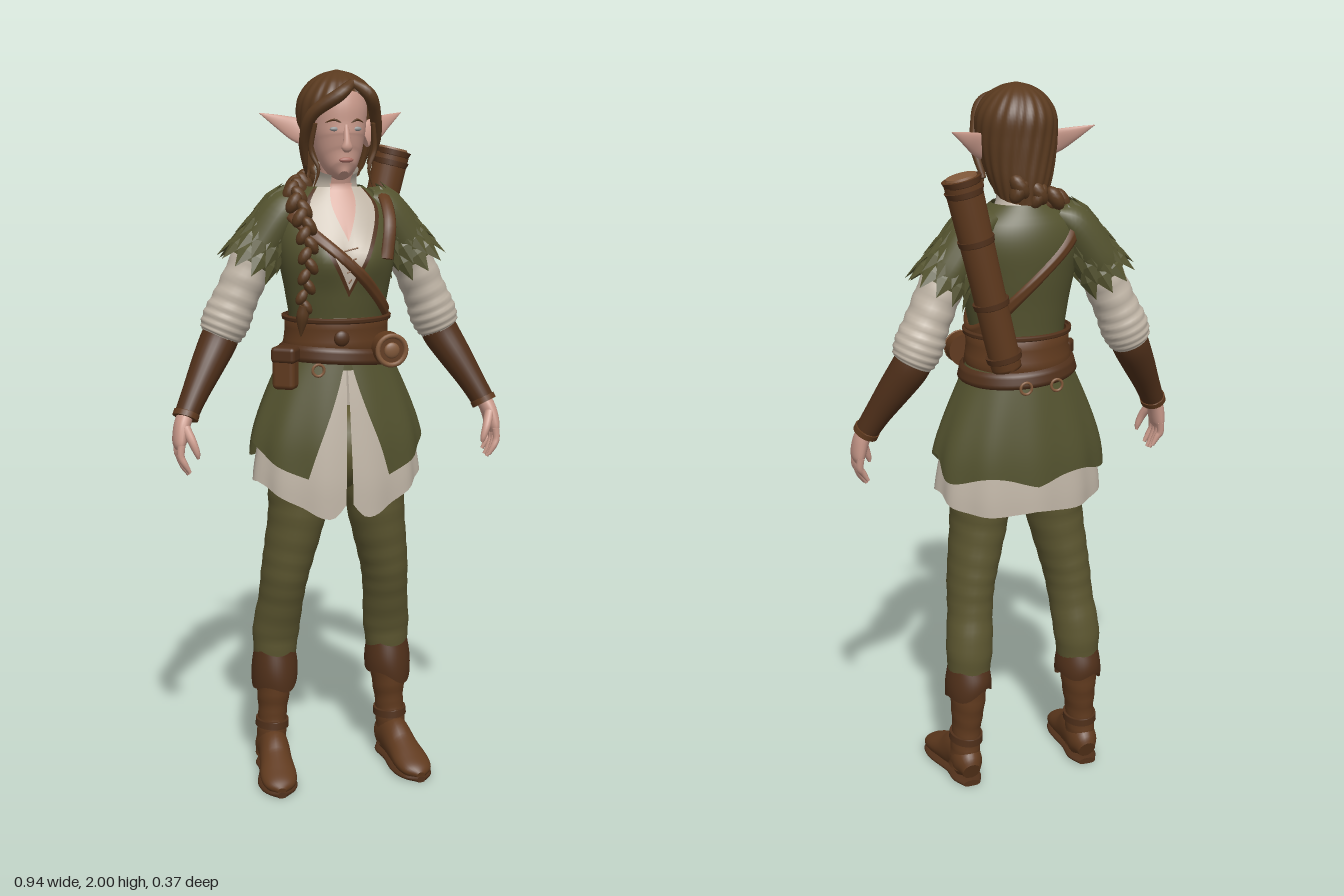
import * as THREE from 'three';
import { RoundedBoxGeometry } from 'three/addons/geometries/RoundedBoxGeometry.js';

const { sin, cos, PI, abs, exp, max, min } = Math;
const V = (x, y, z) => new THREE.Vector3(x, y, z);

// smooth interpolation in a table of [key, value, value, ...]
function table(s, x) {
  let i = 0;
  while (i < s.length - 2 && x > s[i + 1][0]) i++;
  const slope = (k, c) => {
    const a = s[max(k - 1, 0)], b = s[min(k + 1, s.length - 1)];
    return (b[c] - a[c]) / (b[0] - a[0]);
  };
  const h = s[i + 1][0] - s[i][0], t = min(1, max(0, (x - s[i][0]) / h)), t2 = t * t, t3 = t2 * t;
  return s[i].slice(1).map((p, j) => (2 * t3 - 3 * t2 + 1) * p + (t3 - 2 * t2 + t) * h * slope(i, j + 1)
    + (3 * t2 - 2 * t3) * s[i + 1][j + 1] + (t3 - t2) * h * slope(i + 1, j + 1));
}

// surface from rows of points
function skin(rows, closed) {
  const n = rows[0].length, index = [];
  for (let i = 0; i < rows.length - 1; i++) {
    for (let j = 0; j < (closed ? n : n - 1); j++) {
      const k = (j + 1) % n, a = i * n + j, b = a + n, c = i * n + k, d = c + n;
      index.push(a, b, c, b, d, c);
    }
  }
  const g = new THREE.BufferGeometry();
  g.setAttribute('position', new THREE.Float32BufferAttribute(rows.flat(2), 3));
  g.setIndex(index);
  g.computeVertexNormals();
  return g;
}

// f(u, v) -> [x, y, z]
function sheet(f, nu, nv, closed = false) {
  const rows = [];
  for (let i = 0; i <= nv; i++) {
    rows.push(Array.from({ length: closed ? nu : nu + 1 }, (_, j) => f(j / nu, i / nv)));
  }
  return skin(rows, closed);
}

// capped tube through [x, y, z, r1, r2] sections, rings square to the path
function loft(pts, { ref = V(0, 0, 1), n = 20, m = 6, floor = -9, fold = 0 } = {}) {
  const path = new THREE.CatmullRomCurve3(pts.map(p => V(p[0], p[1], p[2])), false, 'catmullrom');
  const size = new THREE.CatmullRomCurve3(pts.map(p => V(p[3], p[4] ?? p[3], 0)), false, 'catmullrom');
  const count = (pts.length - 1) * m, rows = [];
  for (let i = 0; i <= count; i++) {
    const c = path.getPoint(i / count), r = size.getPoint(i / count), t = path.getTangent(i / count);
    const u = t.clone().cross(ref).normalize(), w = u.clone().cross(t);
    rows.push(Array.from({ length: n }, (_, j) => {
      const a = j / n * 2 * PI, k = 1 + fold * sin(i * 1.6 + 2 * sin(a));
      const p = c.clone().addScaledVector(u, r.x * k * cos(a)).addScaledVector(w, r.y * k * sin(a));
      return [p.x, max(floor, p.y), p.z];
    }));
  }
  const cap = (row, p) => row.map(() => [p[0], max(floor, p[1]), p[2]]);
  const first = rows[0], last = rows[count];
  return skin([cap(first, pts[0]), first, ...rows, last, cap(last, pts.at(-1))], true);
}

const ball = (x, y, z, a, b, c) => new THREE.SphereGeometry(1, 18, 12).scale(a, b, c).translate(x, y, z);

// torso surface: y, centre z, half width, half depth
const TORSO = [[1.2, 0, .15, .128], [1.3, .005, .13, .115], [1.4, .01, .143, .125], [1.5, .008, .162, .135],
  [1.58, -.01, .168, .122], [1.64, -.02, .145, .1], [1.69, -.02, .08, .07]];
function torso(a, y, off = 0) {
  const [z, rx, rz] = table(TORSO, y), x = (rx + off) * cos(a);
  const bust = sin(a) > 0 ? .018 * sin(a) * exp(-(((abs(x) - .065) / .05) ** 2) - ((y - 1.5) / .06) ** 2) : 0;
  return [x, y, z + (rz + off) * sin(a) + bust];
}
// raised band around the torso with height yOf(angle)
const band = (yOf, half, off) => sheet((u, v) => {
  const a = u * 2 * PI, edge = v * 2 - 1;
  return torso(a, yOf(a) - edge * half, abs(edge) > .9 ? off - .008 : off);
}, 64, 6, true);
const frontPanel = (y0, y1, halfAngle, off) => sheet((u, v) =>
  torso(PI / 2 + (u * 2 - 1) * halfAngle * v, y0 + (y1 - y0) * v, off), 8, 16);

// skirt: size table by y, hem table by degrees from the front, slit in degrees
function skirt(size, hem, slit) {
  return sheet((u, v) => {
    const g = slit * v + .5, d = g + u * (360 - 2 * g), a = PI / 2 + d * PI / 180;
    const y = 1.26 + (table(hem, min(d, 360 - d))[0] - 1.26) * v;
    const [rx, rz] = table(size, y), k = 1 + .02 * v * sin(11 * a);
    return [rx * k * cos(a), y, rz * k * sin(a)];
  }, 96, 16);
}

export function createModel() {
  const model = new THREE.Group();
  const paint = (name, color) => new THREE.MeshStandardMaterial({ name, color, side: THREE.DoubleSide });
  const hair = paint('hair brown', 0x5a3a1f), flesh = paint('skin', 0xcb9b8c), lip = paint('lips', 0xa86a60),
    eye = paint('eyes', 0x8e9090), green = paint('tunic green', 0x54532f), olive = paint('trouser olive', 0x5c5630),
    linen = paint('linen', 0xc2b7a8), leather = paint('leather', 0x603a1e), dark = paint('dark leather', 0x50301a),
    tan = paint('tan leather', 0x82593a);
  const add = (name, mat, geo) => {
    const mesh = new THREE.Mesh(geo, mat);
    mesh.name = name;
    model.add(mesh);
    return mesh;
  };

  // head and face
  add('head', flesh, loft([[0, 1.722, .08, .014, .018], [0, 1.738, .066, .038, .043], [0, 1.77, .045, .057, .067],
    [0, 1.81, .03, .068, .084], [0, 1.85, .024, .075, .088], [0, 1.9, .018, .079, .092], [0, 1.95, .01, .07, .08],
    [0, 1.985, .01, .03, .035]], { n: 28 }));
  add('neck', flesh, loft([[0, 1.6, -.02, .06], [0, 1.69, -.005, .048], [0, 1.78, .02, .047]]));
  add('nose', flesh, loft([[0, 1.855, .106, .007], [0, 1.815, .115, .01], [0, 1.797, .115, .015, .012], [0, 1.787, .11, .008]]));
  add('mouth', lip, ball(0, 1.764, .109, .02, .007, .007));

  // hair cap with a hairline around the face
  const HAIR = [[1.68, -.035, .06, .06], [1.75, -.02, .085, .082], [1.8, -.003, .098, .1], [1.86, .01, .107, .114],
    [1.92, .014, .105, .116], [1.965, .014, .078, .088], [1.99, .012, .04, .045], [2, .012, .002, .002]];
  const HAIRLINE = [[-1, 1.69], [.05, 1.72], [.4, 1.77], [.65, 1.86], [.85, 1.925], [1, 1.945]];
  add('hair cap', hair, sheet((u, v) => {
    const a = u * 2 * PI, y = 2 - (2 - table(HAIRLINE, sin(a))[0]) * v ** 1.6;
    const [z, rx, rz] = table(HAIR, y), k = 1 + .02 * sin(20 * a + 34 * y);
    return [rx * k * cos(a), y, z + rz * k * sin(a)];
  }, 120, 28, true));
  for (const s of [1, -1]) {
    add('swept fringe', hair, loft([[.02, 1.965, .098, .012], [.02 + s * .04, 1.935, .118, .018],
      [s * .085, 1.885, .088, .017], [s * .1, 1.82, .05, .014], [s * .09, 1.75, .02, .008]], { n: 10 }));
    add('loose strand', hair, loft([[s * .08, 1.86, .09, .006], [s * .088, 1.79, .075, .007],
      [s * .07, 1.74, .085, .005], [s * .082, 1.69, .08, .001]], { n: 8 }));
  }

  // braid over the right shoulder
  const braid = new THREE.CatmullRomCurve3([V(.04, 1.74, -.085), V(-.07, 1.7, -.075), V(-.12, 1.675, .02),
    V(-.115, 1.6, .115), V(-.118, 1.5, .16), V(-.128, 1.38, .145)]);
  for (let i = 0; i < 22; i++) {
    const t = i / 21, p = braid.getPointAt(t), q = i % 2 ? 1 : -1, r = .031 - .013 * t;
    const knot = add('braid strand', hair, new THREE.SphereGeometry(1, 12, 8));
    knot.scale.set(r * .75, r * 1.25, r * .85);
    knot.position.set(p.x + q * r * .45, p.y, p.z);
    knot.rotation.z = q * .55;
  }
  add('braid tip', hair, loft([[-.128, 1.385, .148, .012], [-.13, 1.35, .14, .017], [-.133, 1.3, .135, .002]], { n: 10 }));

  // torso, shirt front and collar
  add('tunic body', green, sheet((u, v) => torso(u * 2 * PI, 1.2 + .49 * v), 64, 32, true));
  add('tunic neck trim', dark, frontPanel(1.4, 1.685, .9, .003));
  add('shirt front', linen, frontPanel(1.42, 1.69, .78, .006));
  add('bare chest', flesh, frontPanel(1.55, 1.7, .36, .009));
  add('collar', linen, sheet((u, v) => {
    const a = PI / 2 + .5 + u * (2 * PI - 1) + 0, r = .078 - .022 * sin(v * 2.2);
    return [r * cos(a), 1.655 + .085 * v - .02 * v * sin(a), -.012 + .022 * v + r * 1.02 * sin(a)];
  }, 40, 8));
  for (let i = 0; i < 4; i++) {
    const y = 1.44 + i * .028, w = .004 + i * .006, z = torso(PI / 2, y, .009)[2];
    add('shirt lace', tan, loft([[-w, y, z, .002], [w, y + .01, z, .002]], { n: 6 }));
  }

  // skirts
  add('linen shirt skirt', linen, skirt([[.78, .238, .154], [.9, .238, .154], [1.1, .195, .136], [1.26, .13, .112]],
    [[0, .84], [12, .79], [35, .825], [60, .865], [90, .89], [120, .855], [150, .84], [180, .85]], 2));
  add('tunic skirt', green, skirt([[.9, .252, .163], [1, .243, .16], [1.1, .211, .148], [1.26, .14, .122]],
    [[0, .9], [27, .905], [60, .955], [90, 1.0], [115, .935], [150, .955], [180, .925]], 27));

  // belts, strap and pouches
  add('waist belt', leather, band(a => 1.29 + .005 * sin(a), .048, .014));
  add('belt top cord', dark, band(() => 1.335, .008, .02));
  add('hip belt', dark, band(a => 1.232 - .012 * cos(a + .6), .022, .022));
  add('chest strap', leather, band(a => 1.49 - .155 * cos(a), .022, .012));
  add('left shoulder strap', leather, loft([[.11, 1.5, .125, .018, .008], [.125, 1.6, .1, .018, .008],
    [.13, 1.665, .01, .018, .008], [.13, 1.63, -.1, .018, .008], [.12, 1.5, -.13, .018, .008]], { ref: V(-1, 0, 0).cross(V(0, 1, 0)), n: 10 }));
  const roundPouch = new THREE.CylinderGeometry(.045, .047, .05, 24).rotateX(PI / 2);
  add('round pouch', leather, roundPouch).position.set(.115, 1.255, .135);
  add('round pouch rim', tan, new THREE.TorusGeometry(.04, .007, 8, 24)).position.set(.115, 1.255, .16);
  add('round pouch stud', tan, ball(.115, 1.255, .16, .022, .022, .008));
  const pouch = add('side pouch', leather, new RoundedBoxGeometry(.065, .11, .05, 3, .014));
  pouch.position.set(-.165, 1.205, .09);
  const flap = add('side pouch flap', dark, new RoundedBoxGeometry(.07, .045, .056, 3, .012));
  flap.position.set(-.165, 1.245, .091);
  pouch.rotation.y = flap.rotation.y = -.6;
  for (const [x, z] of [[-.085, .137], [.03, -.146], [-.06, -.142]]) {
    add('belt ring', tan, new THREE.TorusGeometry(.016, .004, 8, 20)).position.set(x, 1.205, z);
  }
  add('belt knot', dark, ball(-.02, 1.29, .138, .022, .022, .012));

  // quiver on the back
  const at = t => [.08 + .125 * t, 1.265 + .515 * t, -.128 - .008 * t];
  add('quiver', leather, loft([[...at(0), .036], [...at(.04), .042], [...at(.5), .044], [...at(1), .05, .043]], { n: 24 }));
  for (const t of [.06, .35, .68, .93, .985]) {
    add('quiver band', dark, loft([[...at(t - .015), .048, .046], [...at(t + .015), t > .8 ? .054 : .05, .046]], { n: 24 }));
  }
  add('quiver lid', tan, loft([[...at(1), .043, .036], [...at(1.012), .041, .034]], { n: 24 }));

  add('hips', olive, ball(0, .96, 0, .175, .12, .115));
  for (const s of [1, -1]) {
    const limb = (name, mat, pts, opt) => add(name, mat, loft(pts.map(([x, ...p]) => [x * s, ...p]), opt));

    limb('ear', flesh, [[.07, 1.82, .022, .03, .012], [.11, 1.842, 0, .031, .01], [.15, 1.862, -.025, .019, .007], [.2, 1.885, -.05, .001, .001]]);
    add('eye', eye, ball(s * .03, 1.845, .103, .014, .006, .005));
    limb('eyebrow', hair, [[.014, 1.862, .108, .002], [.032, 1.869, .104, .003], [.052, 1.862, .09, .001]], { n: 8 });

    // arm
    limb('sleeve', linen, [[.16, 1.6, -.03, .06, .062], [.225, 1.49, -.035, .06, .066], [.272, 1.39, -.042, .061, .066],
      [.298, 1.33, -.047, .067, .068], [.315, 1.29, -.05, .06, .06], [.322, 1.275, -.05, .045, .045]], { n: 28, m: 8, fold: .03 });
    limb('bracer', dark, [[.305, 1.305, -.05, .05, .052], [.325, 1.265, -.043, .052, .052], [.36, 1.205, -.02, .046, .047],
      [.4, 1.135, .008, .037, .039], [.432, 1.075, .03, .032, .035]], { n: 24 });
    limb('bracer edge', leather, [[.427, 1.086, .026, .036, .039], [.433, 1.072, .031, .036, .039]], { n: 24 });
    limb('palm', flesh, [[.43, 1.085, .028, .022, .027], [.444, 1.05, .038, .022, .034], [.452, 1.01, .045, .019, .038], [.452, .99, .047, .012, .034]]);
    for (let i = 0; i < 4; i++) {
      const z = .017 + i * .019, drop = [.012, 0, -.003, .006][i];
      limb('finger', flesh, [[.452, 1.005, z, .011], [.454, .975, z + .003, .01], [.445, .948 + drop, z + .006, .009],
        [.431, .924 + drop, z + .006, .005]], { n: 10, m: 4 });
    }
    limb('thumb', flesh, [[.438, 1.05, .06, .014], [.423, 1.015, .08, .012], [.412, .985, .086, .009], [.408, .968, .086, .004]], { n: 10, m: 4 });

    // leaf shoulder guard
    limb('shoulder guard', green, [[.09, 1.655, -.025, .03, .06], [.14, 1.625, -.03, .06, .078], [.2, 1.54, -.035, .066, .08], [.235, 1.485, -.035, .066, .076]]);
    const axis = V(.545 * s, -.838, 0), out = V(.838 * s, .545, 0);
    for (let row = 0; row < 5; row++) {
      for (let i = 0; i < 9; i++) {
        const phi = (i - 4 + (row % 2) * .5 - .25) * .56, n = out.clone().multiplyScalar(cos(phi)).add(V(0, 0, sin(phi)));
        const p = V(.125 * s, 1.645, -.033).addScaledVector(axis, .015 + row * .04).addScaledVector(n, .056 + row * .005);
        const y = axis.clone().addScaledVector(n, .3).normalize(), x = y.clone().cross(n).normalize();
        const leaf = add('shoulder leaf', green, new THREE.OctahedronGeometry(1).scale(.027, .055, .009));
        leaf.applyMatrix4(new THREE.Matrix4().makeBasis(x, y, x.clone().cross(y)).setPosition(p));
      }
    }

    // leg and boot
    limb('trouser leg', olive, [[.1, .98, 0, .1, .11], [.108, .87, .01, .09, .1], [.116, .78, .01, .081, .094], [.134, .68, 0, .073, .088],
      [.148, .6, -.01, .067, .083], [.156, .52, -.025, .064, .073], [.166, .42, -.048, .067, .067], [.17, .33, -.05, .058, .06]], { n: 28, fold: .012 });
    limb('boot shaft', leather, [[.171, .35, -.05, .056, .064], [.174, .25, -.05, .049, .06], [.178, .17, -.049, .041, .05],
      [.182, .1, -.045, .042, .054], [.185, .04, -.045, .044, .055]], { n: 24, fold: .02 });
    add('boot cuff', dark, sheet((u, v) => {
      const a = u * 2 * PI, hem = .275 - .02 * sin(a) + .012 * cos(3 * a) - .01 * s * cos(a);
      const y = .365 + (hem - .365) * v, k = .9 + .16 * sin(v * 2);
      return [s * .171 + .063 * k * cos(a), y + .008 * cos(2 * a) * (1 - v), -.048 + .073 * k * sin(a)];
    }, 40, 8, true));
    limb('boot foot', leather, [[.182, .045, -.103, .026, .03], [.182, .06, -.07, .043, .055], [.184, .068, -.01, .044, .062],
      [.191, .05, .05, .047, .046], [.198, .036, .11, .052, .032], [.203, .026, .155, .042, .022], [.205, .02, .182, .012, .01]],
      { ref: V(0, 1, 0), floor: .008, n: 24 });
    limb('boot sole', dark, [[.182, .008, -.106, .026, .01], [.183, .008, -.06, .044, .012], [.187, .008, 0, .042, .012],
      [.197, .008, .09, .056, .012], [.203, .008, .15, .045, .012], [.205, .008, .185, .012, .01]], { ref: V(0, 1, 0), floor: 0, n: 20 });
    limb('ankle strap', dark, [[.179, .15, -.048, .047, .057], [.18, .128, -.047, .048, .058]], { n: 24 });
  }
  return model;
}
